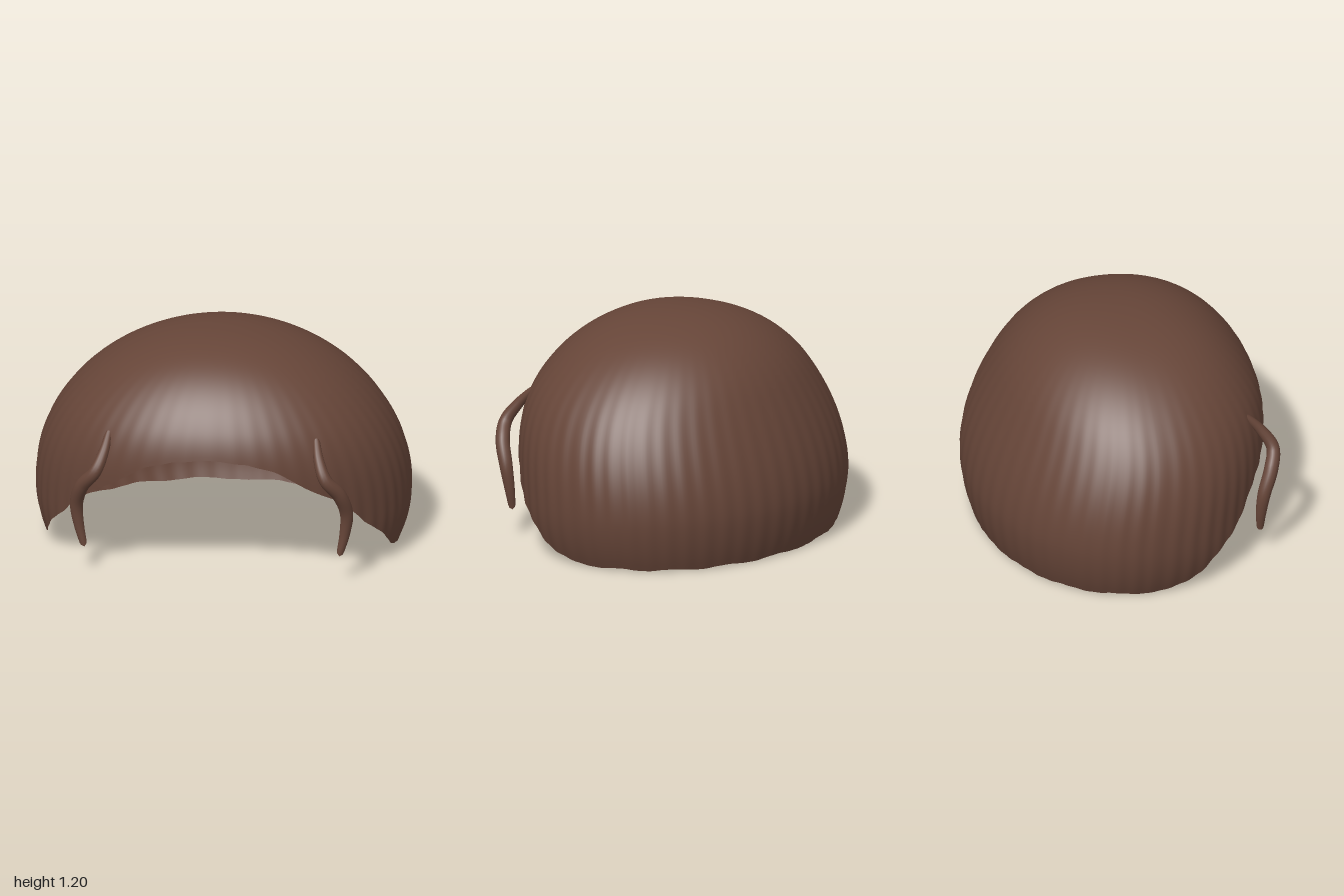
import * as THREE from 'three';

const hairBrown = new THREE.MeshStandardMaterial({ color: 0x664538, side: THREE.DoubleSide });
hairBrown.name = 'hair brown';

const EQUATOR = 0.3; // height of the widest level

// Hairline height by angle (degrees) away from the front
const HAIRLINE = [[0, 0.71], [11, 0.7], [20, 0.645], [30, 0.545], [42, 0.43], [52, 0.29],
  [61, 0.19], [70, 0.09], [77, 0.045], [85, 0.01], [180, 0.005]];

function hairlineHeight(deg) {
  const k = Math.max(1, HAIRLINE.findIndex(p => p[0] >= deg));
  const [a, b] = [HAIRLINE[k - 1], HAIRLINE[k]];
  const y = THREE.MathUtils.lerp(a[1], b[1], (deg - a[0]) / (b[0] - a[0]));
  return y + 0.005 * Math.cos(deg * 0.3);
}

// Relative width at a level of the cap; a higher power gives fuller shoulders
const fullness = (level, power) => Math.max(0, 1 - Math.abs(level) ** power) ** (1 / power);

// Point on the cap: angle round the head (0 = front), tilt down from the crown
function capPoint(angle, tilt) {
  const c = Math.cos(angle), s = Math.sin(angle), level = Math.cos(tilt);
  const upper = level > 0;
  const power = c > 0 ? 0.91 : 1; // slightly squarer at the forehead
  const px = Math.sign(s) * Math.abs(s) ** power;
  const pz = Math.sign(c) * Math.abs(c) ** power;
  const y = EQUATOR + (upper ? 0.9 : 0.82) * level;
  const lean = 0.07 * THREE.MathUtils.smoothstep(y, 0.25, 0.85);
  const strand = 1 + 0.003 * Math.sin(tilt) ** 4 * Math.cos(angle * 52);
  const rx = 0.997 * fullness(level, upper ? 2.1 : 2) * strand;
  const rz = 0.78 * fullness(level, upper ? 2.35 : 2) * strand;
  return [px * rx, y, lean + pz * rz];
}

// Open shell of hair, from the crown down to the hairline
function makeCap() {
  const around = 312, rows = 44;
  const pos = [...capPoint(0, 0)], index = [];
  for (let i = 1; i <= rows; i++) {
    for (let j = 0; j < around; j++) {
      const angle = (j / around) * Math.PI * 2;
      const deg = THREE.MathUtils.radToDeg(Math.min(angle, Math.PI * 2 - angle));
      const drop = hairlineHeight(deg) - EQUATOR;
      const end = Math.acos(drop / (drop > 0 ? 0.9 : 0.82));
      pos.push(...capPoint(angle, (end * i) / rows));
    }
  }
  const id = (i, j) => 1 + (i - 1) * around + (j % around);
  for (let j = 0; j < around; j++) {
    index.push(0, id(1, j), id(1, j + 1));
    for (let i = 1; i < rows; i++) {
      index.push(id(i, j), id(i + 1, j), id(i, j + 1));
      index.push(id(i, j + 1), id(i + 1, j), id(i + 1, j + 1));
    }
  }
  const geo = new THREE.BufferGeometry();
  geo.setAttribute('position', new THREE.Float32BufferAttribute(pos, 3));
  geo.setIndex(index);
  geo.computeVertexNormals();
  return geo;
}

// Loose curl at the temple: a tube tapered towards rounded ends
function makeLock(side) {
  const curve = new THREE.CatmullRomCurve3([
    [0.55, 0.8, 0.6], [0.575, 0.7, 0.69], [0.615, 0.61, 0.742], [0.685, 0.52, 0.715],
    [0.72, 0.4, 0.67], [0.71, 0.28, 0.655], [0.68, 0.145, 0.655],
  ].map(([x, y, z]) => new THREE.Vector3(side * x, y, z)));
  const steps = 48, sides = 14;
  const geo = new THREE.TubeGeometry(curve, steps, 1, sides);
  const p = geo.attributes.position, v = new THREE.Vector3();
  for (let i = 0; i <= steps; i++) {
    const u = i / steps, centre = curve.getPointAt(u);
    const body = 0.017 + 0.021 * Math.sin(Math.PI * u);
    const cap = Math.sqrt(Math.max(0, 1 - Math.max(0, 1 - Math.min(u, 1 - u) / 0.04) ** 2));
    for (let j = 0; j <= sides; j++) {
      const n = i * (sides + 1) + j;
      v.fromBufferAttribute(p, n).sub(centre).multiplyScalar(body * cap).add(centre);
      p.setXYZ(n, v.x, v.y, v.z);
    }
  }
  return geo; // the tube's own radial normals stay smooth across its seam
}

export function createModel() {
  const group = new THREE.Group();
  group.name = 'hair';
  const add = (name, geo) => {
    const mesh = new THREE.Mesh(geo, hairBrown);
    mesh.name = name;
    group.add(mesh);
  };
  add('hairCap', makeCap());
  add('leftLock', makeLock(1));
  add('rightLock', makeLock(-1));
  return group;
}
